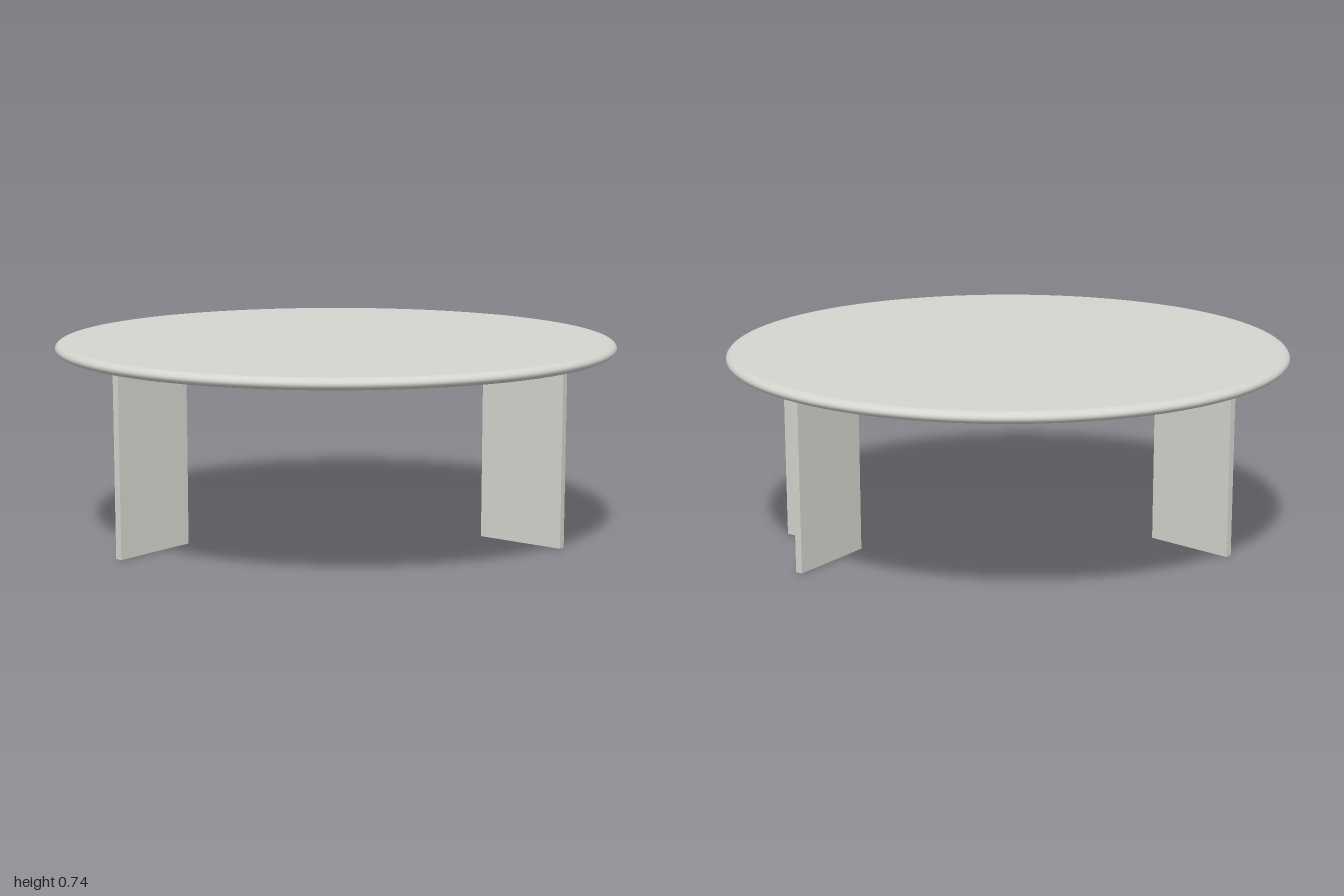
import * as THREE from 'three';

const TOP = 0.742, UNDER = 0.7;

// Round slab with a soft elliptical edge
function tabletopGeometry() {
  const half = (TOP - UNDER) / 2, bevel = 0.035, steps = 16;
  const profile = [new THREE.Vector2(0, UNDER)];
  for (let i = 0; i <= steps; i++) {
    const a = -Math.PI / 2 + (Math.PI * i) / steps;
    profile.push(new THREE.Vector2(1 - bevel + bevel * Math.cos(a), UNDER + half + half * Math.sin(a)));
  }
  profile.push(new THREE.Vector2(0, TOP));
  return new THREE.LatheGeometry(profile, 128);
}

// V-shaped leg: two thin plates meeting at an inward-pointing corner
function legGeometry(side) {
  const outline = [
    [0.537, 0], [0.781, 0.233], [0.799, 0.214],
    [0.574, -0.002], [0.778, -0.24], [0.758, -0.257],
  ];
  const shape = new THREE.Shape(outline.map(([x, z]) => new THREE.Vector2(side * x, -z)));
  const geometry = new THREE.ExtrudeGeometry(shape, { depth: UNDER, bevelEnabled: false });
  return geometry.rotateX(-Math.PI / 2);
}

export function createModel() {
  const model = new THREE.Group();
  model.name = 'roundTable';
  const stone = new THREE.MeshStandardMaterial({ color: 0xd6d4d0 });
  stone.name = 'pale warm grey';

  const add = (name, geometry) => {
    const mesh = new THREE.Mesh(geometry, stone);
    mesh.name = name;
    model.add(mesh);
  };
  add('tabletop', tabletopGeometry());
  add('leftLeg', legGeometry(1));
  add('rightLeg', legGeometry(-1));
  return model;
}
